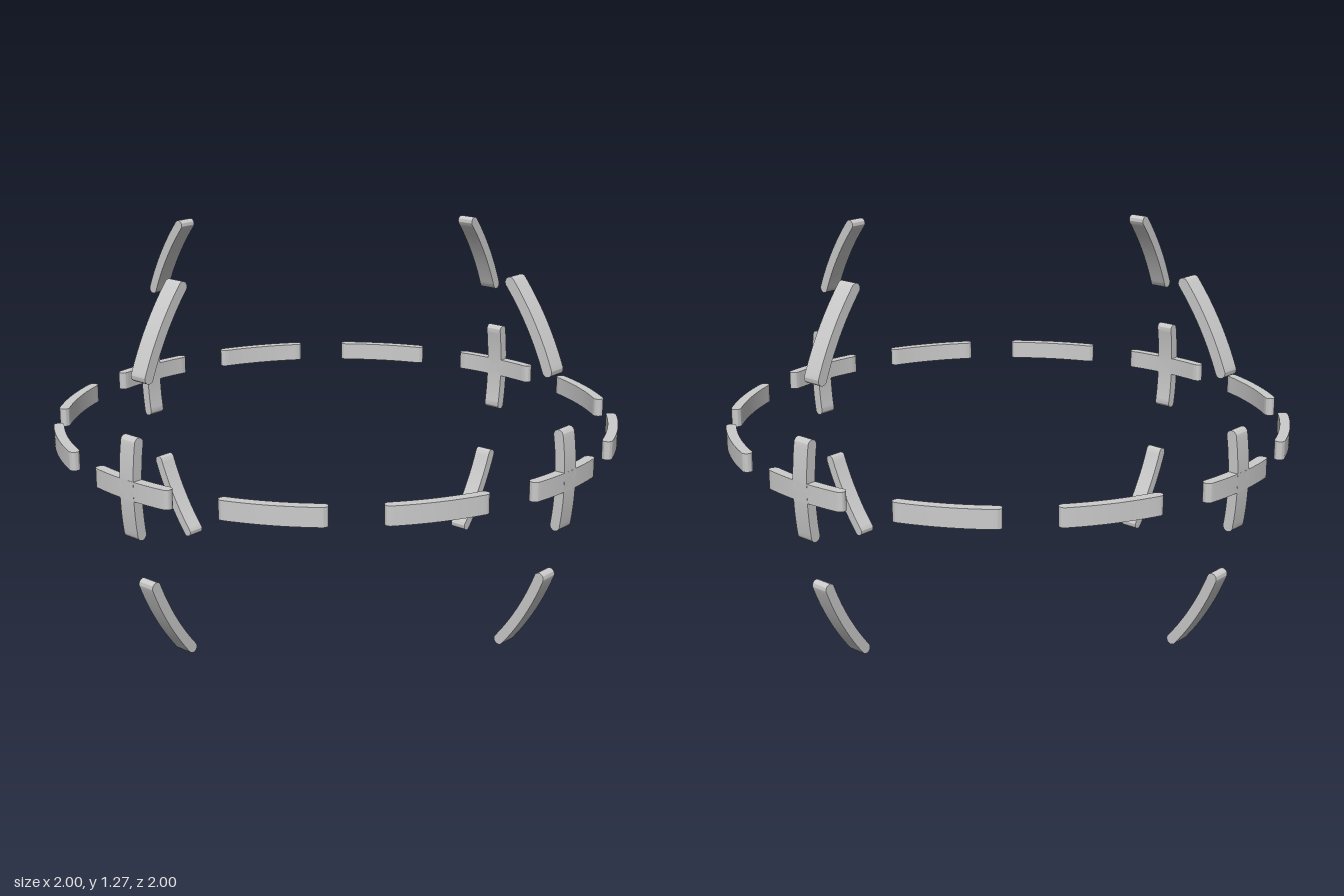
import * as THREE from 'three';
import { toCreasedNormals } from 'three/addons/utils/BufferGeometryUtils.js';

const R = 0.982;         // middle radius of the dashed sphere
const HALF = 0.018;      // half thickness of a dash
const WIDTH = 0.065;
const CENTRE_Y = 0.637;
const SPAN = THREE.MathUtils.degToRad(9); // half angle between the end cap centres

// Curved bar with rounded ends, lying in the XY plane around +x
function dashGeometry() {
  const s = new THREE.Shape();
  const cx = R * Math.cos(SPAN), cy = R * Math.sin(SPAN);
  s.absarc(0, 0, R + HALF, -SPAN, SPAN, false);
  s.absarc(cx, cy, HALF, SPAN, SPAN + Math.PI, false);
  s.absarc(0, 0, R - HALF, SPAN, -SPAN, true);
  s.absarc(cx, -cy, HALF, Math.PI - SPAN, 2 * Math.PI - SPAN, false);
  const g = new THREE.ExtrudeGeometry(s, { depth: WIDTH, bevelEnabled: false, curveSegments: 12 });
  g.translate(0, 0, -WIDTH / 2);
  return toCreasedNormals(g, 0.7);
}

export function createModel() {
  const model = new THREE.Group();
  model.name = 'dashedSphere';
  const material = new THREE.MeshStandardMaterial({ color: 0xcccccc });
  const upright = dashGeometry();
  const level = upright.clone().rotateX(Math.PI / 2);

  // Horizontal ring of twelve dashes
  const ring = new THREE.Group();
  ring.name = 'equatorRing';
  for (let i = 0; i < 12; i++) {
    const dash = new THREE.Mesh(level, material);
    dash.name = 'equatorDash';
    dash.rotation.y = i * Math.PI / 6;
    ring.add(dash);
  }

  // Four meridians of three dashes; the middle one crosses the ring
  for (let i = 0; i < 4; i++) {
    const meridian = new THREE.Group();
    meridian.name = 'meridian';
    meridian.rotation.y = i * Math.PI / 2;
    for (const [name, step] of [['lowerDash', -1], ['crossDash', 0], ['upperDash', 1]]) {
      const dash = new THREE.Mesh(upright, material);
      dash.name = name;
      dash.rotation.z = step * Math.PI / 6;
      meridian.add(dash);
    }
    meridian.position.y = CENTRE_Y;
    model.add(meridian);
  }
  ring.position.y = CENTRE_Y;
  model.add(ring);
  return model;
}
